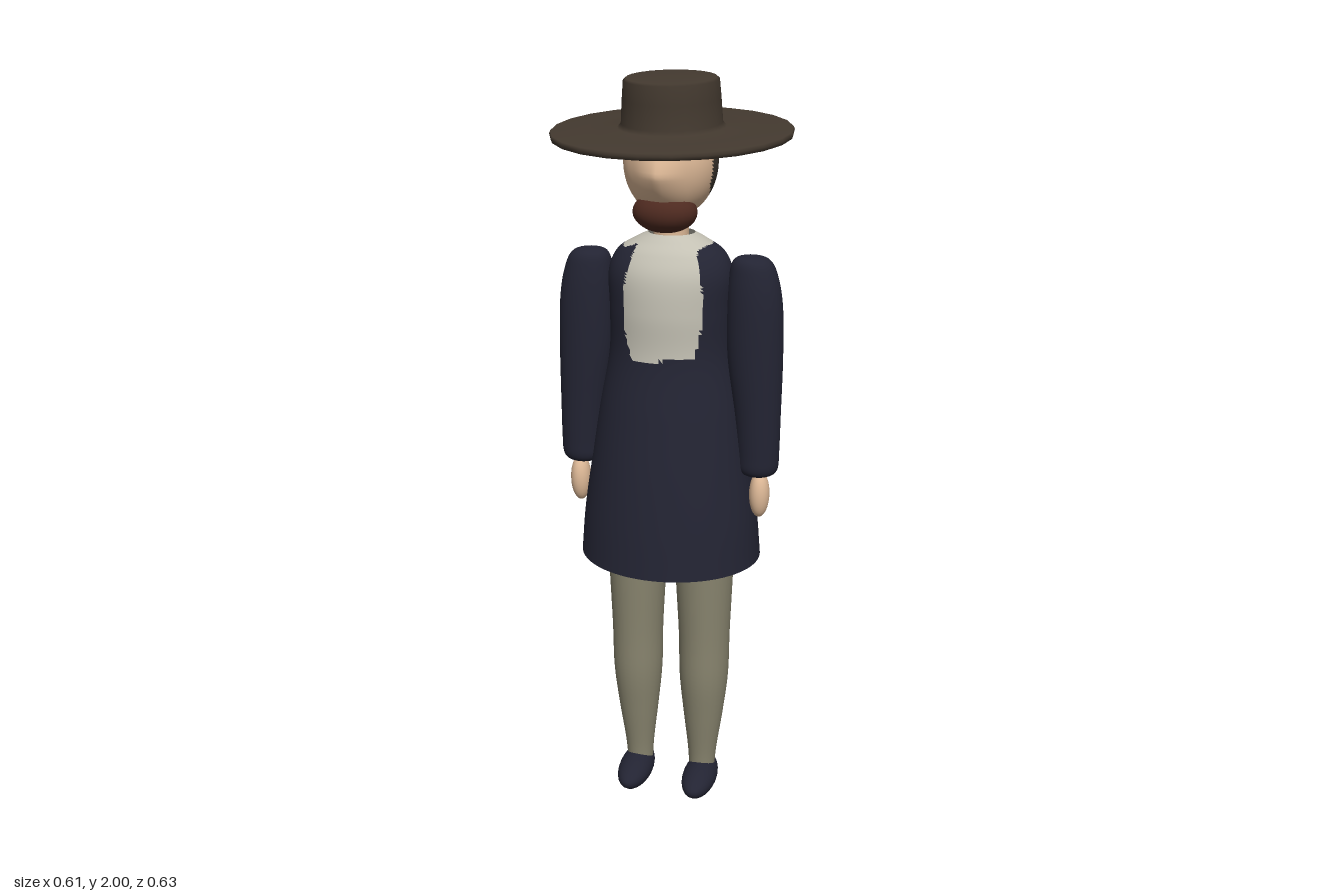
import * as THREE from 'three';

const mat = (name, color, extra = {}) => {
  const m = new THREE.MeshStandardMaterial({ color, ...extra });
  m.name = name;
  return m;
};

// Smooth tube of ellipses; rows run bottom to top as [y, centreX, centreZ, radiusX, radiusZ]
function loft(rows, segs, steps) {
  const curve = (a, b) => new THREE.CatmullRomCurve3(
    rows.map(r => new THREE.Vector3(r[a], r[0], r[b])), false, 'catmullrom');
  const centre = curve(1, 2), radius = curve(3, 4);
  const pos = [], index = [];
  for (let i = 0; i <= steps; i++) {
    const c = centre.getPoint(i / steps), r = radius.getPoint(i / steps);
    for (let j = 0; j < segs; j++) {
      const a = j / segs * Math.PI * 2;
      pos.push(c.x + Math.sin(a) * Math.max(r.x, 0), c.y, c.z + Math.cos(a) * Math.max(r.z, 0));
      if (i === steps) continue;
      const p = i * segs + j, q = i * segs + (j + 1) % segs;
      index.push(p, q, p + segs, q, q + segs, p + segs);
    }
  }
  const g = new THREE.BufferGeometry();
  g.setAttribute('position', new THREE.Float32BufferAttribute(pos, 3));
  g.setIndex(index);
  g.computeVertexNormals();
  return g;
}

function ellipsoid(rx, ry, rz, w = 24, h = 16) {
  return new THREE.SphereGeometry(1, w, h).scale(rx, ry, rz);
}

// Sort triangles into two material groups by a rule on their centre
function paint(g, rule) {
  const p = g.attributes.position, idx = g.index.array, sets = [[], []];
  for (let i = 0; i < idx.length; i += 3) {
    const t = [idx[i], idx[i + 1], idx[i + 2]];
    const mean = f => (f(t[0]) + f(t[1]) + f(t[2])) / 3;
    const hit = rule(mean(k => p.getX(k)), mean(k => p.getY(k)), mean(k => p.getZ(k)));
    sets[hit ? 1 : 0].push(...t);
  }
  g.setIndex([...sets[0], ...sets[1]]);
  g.addGroup(0, sets[0].length, 0);
  g.addGroup(sets[0].length, sets[1].length, 1);
  return g;
}

export function createModel() {
  const group = new THREE.Group();
  group.name = 'figure';
  const navy = mat('navy cloth', 0x232433, { side: THREE.DoubleSide });
  const linen = mat('linen', 0xc3c0b3, { side: THREE.DoubleSide });
  const skin = mat('skin', 0xdfba98);
  const hair = mat('dark hair', 0x3a342d);
  const beardMat = mat('red brown beard', 0x4e2a20);
  const felt = mat('brown felt', 0x43392f, { side: THREE.DoubleSide });
  const stocking = mat('grey stocking', 0x89856f);

  const add = (name, geometry, material, x = 0, y = 0, z = 0) => {
    const m = new THREE.Mesh(geometry, material);
    m.name = name;
    m.position.set(x, y, z);
    group.add(m);
    return m;
  };

  // Flared coat, open at the hem, with a linen front and neckband
  const coat = loft([
    [0.735, 0, 0.012, 0.245, 0.213], [0.86, 0, 0.013, 0.234, 0.198],
    [1.0, 0, 0.014, 0.213, 0.177], [1.15, 0, 0.012, 0.19, 0.152],
    [1.3, 0, 0.01, 0.163, 0.126], [1.42, 0, 0.012, 0.16, 0.124],
    [1.51, 0, 0.012, 0.162, 0.115], [1.565, 0, 0.008, 0.14, 0.093],
    [1.595, 0, 0.004, 0.095, 0.07], [1.612, 0, 0.002, 0.06, 0.055],
  ], 96, 90);
  add('coat', paint(coat, (x, y, z) => {
    const half = 0.103 - 1.2 * (y - 1.44) ** 2;
    const front = z > 0 && Math.abs(x - 0.003) < half && y > 1.305 + 0.008 * Math.sin(x * 30);
    return front || y > 1.583 + 0.006 * Math.sin(x * 70);
  }), [navy, linen]);

  // Neck
  add('neck', new THREE.CylinderGeometry(0.045, 0.045, 0.16, 24), skin, 0, 1.64, 0.008);

  // Head with a pointed nose and hair at the back
  const head = ellipsoid(0.118, 0.14, 0.13, 64, 48);
  const hp = head.attributes.position;
  for (let i = 0; i < hp.count; i++) {
    const x = hp.getX(i), y = hp.getY(i), z = hp.getZ(i);
    if (z > 0) hp.setZ(i, z + 0.024 * Math.max(0, 1 - Math.abs(x) / 0.07) * Math.max(0, 1 - Math.abs(y + 0.02) / 0.08));
  }
  head.computeVertexNormals();
  add('head', paint(head, (x, y, z) => z < 0.03 - Math.max(0, -0.05 - y) * 1.15),
    [skin, hair], 0, 1.79, 0.01);
  add('beard', ellipsoid(0.082, 0.052, 0.062), beardMat, 0, 1.674, 0.07);

  // Wide hat, tipped slightly forward
  const profile = [[0.115, 0.002], [0.21, -0.002], [0.3, -0.01], [0.303, -0.001], [0.3, 0.006],
    [0.21, 0.009], [0.135, 0.012], [0.126, 0.022], [0.122, 0.08], [0.118, 0.125],
    [0.112, 0.13], [0.06, 0.133], [0, 0.134]].map(p => new THREE.Vector2(...p));
  const hat = add('hat', new THREE.LatheGeometry(profile, 24), felt, 0, 1.862, 0);
  hat.scale.z = 1.037;
  hat.rotation.x = 0.055;

  // Paired limbs
  for (const s of [1, -1]) {
    const side = s > 0 ? 'left' : 'right';
    const mirrored = rows => rows.map(([y, x, z, rx, rz]) => [y, s * x, z, rx, rz]);

    add(side + 'Sleeve', loft(mirrored([
      [0.982, 0.24, 0.03, 0, 0], [0.987, 0.24, 0.03, 0.036, 0.032],
      [1.005, 0.24, 0.03, 0.053, 0.048], [1.05, 0.24, 0.03, 0.056, 0.05],
      [1.15, 0.236, 0.028, 0.061, 0.053], [1.3, 0.226, 0.023, 0.072, 0.06],
      [1.43, 0.222, 0.021, 0.072, 0.06], [1.51, 0.217, 0.02, 0.063, 0.054],
      [1.555, 0.212, 0.02, 0.045, 0.04], [1.568, 0.208, 0.02, 0, 0],
    ]), 24, 54), navy);

    add(side + 'Hand', ellipsoid(0.027, 0.065, 0.032), skin, s * 0.247, 0.932, 0.035);

    add(side + 'Leg', loft(mirrored([
      [0.05, 0.092, 0.012, 0.036, 0.036], [0.12, 0.093, 0.012, 0.041, 0.041],
      [0.24, 0.095, 0.012, 0.056, 0.058], [0.36, 0.096, 0.012, 0.068, 0.073],
      [0.5, 0.096, 0.012, 0.071, 0.077], [0.74, 0.094, 0.012, 0.081, 0.088],
      [0.95, 0.092, 0.012, 0.082, 0.09],
    ]), 24, 36), stocking);

    // Shoe, lower toward the toe
    const shoe = ellipsoid(0.048, 0.043, 0.103);
    const sp = shoe.attributes.position;
    for (let i = 0; i < sp.count; i++) {
      const y = sp.getY(i), z = sp.getZ(i);
      if (y > 0) sp.setY(i, y * (1 - z * 2));
    }
    shoe.computeVertexNormals();
    add(side + 'Shoe', shoe, navy, s * 0.095, 0.043, 0.047);
  }
  return group;
}
